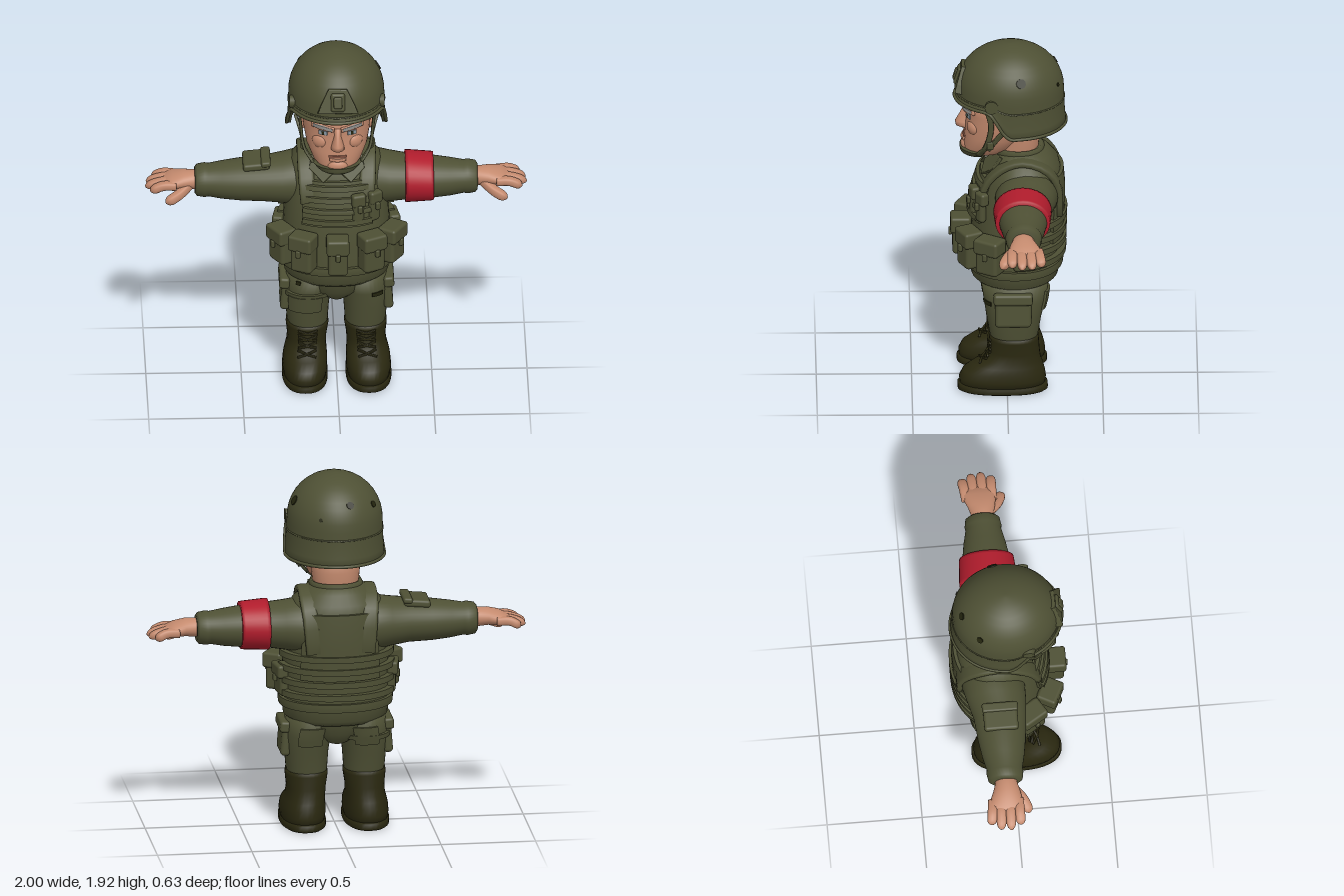
import * as THREE from 'three';
import { RoundedBoxGeometry } from 'three/addons/geometries/RoundedBoxGeometry.js';

const V = (x, y, z) => new THREE.Vector3(x, y, z);
const X = V(1, 0, 0), Y = V(0, 1, 0), Z = V(0, 0, 1);
const N = 36;

// Skin closed rings of points, cap both ends, and turn the faces outward
function loft(rings) {
  const n = rings[0].length, pts = rings.flat(), idx = [];
  for (let i = 0; i < rings.length - 1; i++) for (let j = 0; j < n; j++) {
    const a = i * n + j, b = i * n + (j + 1) % n;
    idx.push(a, b, b + n, a, b + n, a + n);
  }
  [0, rings.length - 1].forEach((r, end) => {
    const mid = rings[r].reduce((s, p) => s.add(p), V(0, 0, 0)).divideScalar(n);
    pts.push(mid);
    for (let j = 0; j < n; j++) {
      const a = r * n + j, b = r * n + (j + 1) % n;
      idx.push(...(end ? [a, b, pts.length - 1] : [b, a, pts.length - 1]));
    }
  });
  let vol = 0;
  for (let i = 0; i < idx.length; i += 3) vol += pts[idx[i]].dot(pts[idx[i + 1]].clone().cross(pts[idx[i + 2]]));
  if (vol < 0) idx.reverse();
  const g = new THREE.BufferGeometry().setFromPoints(pts);
  g.setIndex(idx);
  g.computeVertexNormals();
  return g;
}

const pow = (c, e) => Math.sign(c) * Math.abs(c) ** (2 / e);
const around = (f, n = N) => Array.from({ length: n }, (_, j) => f(j / n * Math.PI * 2));
// Upright body: sections are [y, cx, cz, rx, rz]
const upright = (secs, e = 2.2) => loft(secs.map(([y, cx, cz, rx, rz]) =>
  around(a => V(cx + rx * pow(Math.sin(a), e), y, cz + rz * pow(Math.cos(a), e)))));
// Sideways body: sections are [x, cy, cz, ry, rz]
const sideways = (secs, s) => loft(secs.map(([x, cy, cz, ry, rz]) =>
  around(a => V(s * x, cy + ry * Math.cos(a), cz + rz * Math.sin(a)))));

// Point on an upright body at angle a (0 = front) and height y, pushed out by off
const surface = (secs, e = 2.2) => (a, y, off = 0) => {
  let i = 0;
  while (i < secs.length - 2 && y > secs[i + 1][0]) i++;
  const p = secs[i], q = secs[i + 1], t = (y - p[0]) / (q[0] - p[0]);
  const [cx, cz, rx, rz] = [1, 2, 3, 4].map(k => p[k] + (q[k] - p[k]) * t);
  return V(cx + (rx + off) * pow(Math.sin(a), e), y, cz + (rz + off) * pow(Math.cos(a), e));
};
// Box bent onto a surface: w is an angle, h a height, d the thickness
function wrap(surf, a, y, w, h, d) {
  const g = new THREE.BoxGeometry(w, h, d, Math.max(2, Math.ceil(w * 8)), 4, 1), p = g.attributes.position;
  for (let i = 0; i < p.count; i++) {
    const v = surf(a + p.getX(i), y + p.getY(i), p.getZ(i) + d * 0.3);
    p.setXYZ(i, v.x, v.y, v.z);
  }
  g.computeVertexNormals();
  return g;
}
// Band swept along a curve, with half width w along side and half thickness t
function sweep(points, w, t, side, roundTip = false) {
  const c = new THREE.CatmullRomCurve3(points), n = 16;
  return loft(Array.from({ length: n + 1 }, (_, i) => {
    const u = i / n, P = c.getPoint(u), T = c.getTangent(u);
    const M = T.clone().cross(side).normalize(), S = M.clone().cross(T);
    const k = roundTip ? Math.sqrt(1 - 0.95 * Math.max(0, (u - 0.75) / 0.25) ** 2) : 1;
    return around(a => P.clone().addScaledVector(S, k * w * pow(Math.cos(a), 4)).addScaledVector(M, k * t * pow(Math.sin(a), roundTip ? 2 : 4)), 16);
  }));
}

const TORSO = [[0.59, 0, -0.04, 0.24, 0.2], [0.62, 0, -0.04, 0.275, 0.23], [0.7, 0, -0.04, 0.285, 0.24], [0.9, 0, -0.05, 0.28, 0.235],
  [1.05, 0, -0.06, 0.27, 0.228], [1.18, 0, -0.08, 0.26, 0.208], [1.25, 0, -0.085, 0.235, 0.185], [1.3, 0, -0.08, 0.18, 0.15], [1.335, 0, -0.065, 0.13, 0.125]];
const HEAD = [[1.29, 0, 0.14, 0.05, 0.06], [1.31, 0, 0.12, 0.09, 0.105], [1.35, 0, 0.09, 0.128, 0.14], [1.42, 0, 0.055, 0.16, 0.168],
  [1.5, 0, 0.03, 0.175, 0.187], [1.55, 0, 0.018, 0.18, 0.198], [1.58, 0, 0.01, 0.183, 0.214], [1.7, 0, -0.01, 0.18, 0.2], [1.78, 0, -0.02, 0.1, 0.1]];

// Helmet shell: u runs 0 at the crown, 1 at the widest line, 2 at the rim
function helmetPoint(a, u, inset = 0) {
  const rim = 1.475 + 0.15 * THREE.MathUtils.smoothstep(Math.cos(a), 0, 0.45);
  const phi = Math.min(u, 1) * Math.PI / 2, low = Math.max(0, u - 1);
  const r = Math.sin(phi) + 0.04 * low * low, rz = Math.cos(a) > 0 ? 0.285 : 0.28;
  const y = 1.66 + 0.26 * Math.cos(phi) ** 0.92 + (rim - 1.66) * low;
  return V((0.252 * r - inset) * Math.sin(a), y - inset * (u < 1 ? 1 : 0), -0.02 + (rz * r - inset) * Math.cos(a));
}

export function createModel() {
  const root = new THREE.Group();
  const mat = (name, color) => Object.assign(new THREE.MeshStandardMaterial({ color }), { name });
  const olive = mat('olive cloth', 0x4e5034), boot = mat('dark boot leather', 0x2a2810), skin = mat('skin', 0xc48a6e);
  const red = mat('red cloth', 0xb01c2c), grey = mat('grey hair', 0x92928f), dark = mat('dark patch', 0x24250f);
  const eyeM = mat('pale eye', 0x8796a0), lipM = mat('lip', 0x9c6350);
  const add = (name, geo, material, pos, rot) => {
    const m = new THREE.Mesh(geo, material);
    m.name = name;
    if (pos) m.position.copy(pos);
    if (rot) m.rotation.set(...rot);
    root.add(m);
    return m;
  };
  const box = (w, h, d, r = 0.012) => new RoundedBoxGeometry(w, h, d, 3, r);
  const body = surface(TORSO), face = surface(HEAD);

  // Torso, vest panels and webbing
  add('torso', upright(TORSO), olive);
  add('hips', upright([[0.47, 0, -0.04, 0.06, 0.12], [0.53, 0, -0.04, 0.2, 0.165], [0.6, 0, -0.04, 0.255, 0.185], [0.64, 0, -0.04, 0.255, 0.19]]), olive);
  add('vestHem', wrap(body, 0, 0.7, Math.PI * 2, 0.045, 0.022), olive);
  add('vestFront', wrap(body, 0, 1.08, 1.3, 0.24, 0.024), olive);
  add('vestBack', wrap(body, Math.PI, 1.03, 1.5, 0.36, 0.022), olive);
  for (const y of [0.99, 1.05, 1.11, 1.17]) add('chestWebbing', wrap(body, 0, y, 1.2, 0.026, 0.045), olive);
  for (const y of [0.76, 0.83, 0.9, 0.97]) add('backWebbing', wrap(body, Math.PI, y, 2.9, 0.032, 0.038), olive);
  const pouch = (a, y, w, h, d, out) => {
    const p = body(a, y, out), ry = Math.atan2(Math.sin(a) / 0.28, Math.cos(a) / 0.24);
    add('pouch', box(w, h, d, 0.02), olive, p, [0, ry, 0]);
    const q = body(a, y + h * 0.3, out + 0.012);
    add('pouchFlap', box(w + 0.014, h * 0.42, d + 0.008, 0.015), olive, q, [0, ry, 0]);
    add('pouchClip', box(0.025, 0.04, 0.02, 0.006), olive, body(a, y + h * 0.06, out + d / 2 + 0.012), [0, ry, 0]);
  };
  pouch(0, 0.82, 0.105, 0.21, 0.1, 0.045);
  for (const s of [-1, 1]) {
    pouch(s * 0.54, 0.82, 0.12, 0.21, 0.1, 0.04);
    pouch(s * 1.08, 0.82, 0.13, 0.2, 0.1, 0.035);
    pouch(s * 1.72, 0.82, 0.12, 0.17, 0.05, 0.01);
    add('shoulderStrap', sweep([V(s * 0.15, 1.08, 0.14), V(s * 0.16, 1.19, 0.105), V(s * 0.165, 1.275, 0.02), V(s * 0.165, 1.305, -0.08),
      V(s * 0.165, 1.265, -0.2), V(s * 0.155, 1.17, -0.265), V(s * 0.14, 1.0, -0.275)], 0.042, 0.018, X), olive);
    const flap = new THREE.Shape([[0, 0], [0.06, -0.055], [0.13, 0.02], [0.12, 0.09], [0.04, 0.07]].map(([x, y]) => new THREE.Vector2(s * x, y)));
    add('collarFlap', new THREE.ExtrudeGeometry(flap, { depth: 0.012, bevelSize: 0.004, bevelThickness: 0.004 }), olive, V(s * 0.012, 1.25, 0.105), [-0.6, s * 0.25, 0]);
  }
  pouch(0.34, 1.06, 0.062, 0.17, 0.04, 0.025);
  pouch(0.68, 1.06, 0.062, 0.17, 0.04, 0.025);
  add('collar', upright([[1.28, 0, -0.065, 0.14, 0.135], [1.33, 0, -0.062, 0.142, 0.135], [1.35, 0, -0.06, 0.132, 0.125], [1.34, 0, -0.06, 0.11, 0.11]]), olive);

  for (const s of [-1, 1]) {
    // Sleeves and cuffs
    add('sleeve', sideways([[0.1, 1.1, -0.1, 0.15, 0.15], [0.2, 1.115, -0.1, 0.145, 0.165], [0.28, 1.115, -0.09, 0.13, 0.155], [0.38, 1.115, -0.08, 0.117, 0.138],
      [0.5, 1.112, -0.08, 0.11, 0.126], [0.6, 1.11, -0.08, 0.098, 0.11], [0.67, 1.11, -0.08, 0.086, 0.094], [0.69, 1.11, -0.08, 0.09, 0.097],
      [0.73, 1.11, -0.08, 0.083, 0.09], [0.742, 1.11, -0.08, 0.068, 0.074]], s), olive);
    // Hands
    add('palm', sideways([[0.7, 1.11, -0.08, 0.05, 0.058], [0.75, 1.115, -0.078, 0.05, 0.058], [0.8, 1.118, -0.08, 0.046, 0.072],
      [0.86, 1.112, -0.088, 0.038, 0.09], [0.9, 1.102, -0.092, 0.028, 0.086], [0.92, 1.1, -0.092, 0.012, 0.06]], s), skin);
    [[-0.02, -0.018, 0.975], [-0.066, -0.07, 1], [-0.112, -0.122, 0.995], [-0.155, -0.172, 0.965]].forEach(([z0, z1, tip]) =>
      add('finger', sweep([V(s * 0.84, 1.108, z0), V(s * 0.91, 1.108, (z0 + z1) / 2), V(s * tip, 1.08, z1)], 0.026, 0.023, Z, true), skin));
    add('thumb', sweep([V(s * 0.77, 1.1, -0.05), V(s * 0.83, 1.065, 0.005), V(s * 0.895, 1.035, 0.035)], 0.025, 0.027, Y, true), skin);

    // Trousers with cargo pockets
    const leg = [[0.27, s * 0.15, -0.035, 0.1, 0.12], [0.32, s * 0.152, -0.035, 0.108, 0.128], [0.42, s * 0.153, -0.035, 0.116, 0.145], [0.52, s * 0.148, -0.04, 0.128, 0.165], [0.62, s * 0.13, -0.04, 0.13, 0.18]];
    add('trouserLeg', upright(leg), olive);
    add('cargoPocket', box(0.05, 0.18, 0.19, 0.02), olive, V(s * 0.267, 0.49, -0.03), [0, 0, s * 0.08]);
    add('cargoFlap', box(0.055, 0.06, 0.205, 0.015), olive, V(s * 0.274, 0.56, -0.03), [0, 0, s * 0.08]);
    const legAt = surface(leg);
    add('backPocket', wrap(legAt, Math.PI, 0.52, 0.9, 0.1, 0.016), olive);
    if (s < 0) {
      add('thighPocket', wrap(legAt, -0.15, 0.46, 1.3, 0.09, 0.025), olive);
      add('thighStrap', wrap(legAt, 0, 0.51, Math.PI * 2, 0.025, 0.02), olive);
    }
    add('trouserPatch', wrap(legAt, s * 0.5, s > 0 ? 0.515 : 0.59, s > 0 ? 0.5 : 0.2, 0.022, 0.008), dark);

    // Boots with soles and laces
    const shoe = [[0.02, s * 0.167, 0.025, 0.112, 0.222], [0.07, s * 0.167, 0.025, 0.118, 0.228], [0.11, s * 0.165, 0.018, 0.116, 0.215], [0.145, s * 0.162, -0.002, 0.11, 0.185],
      [0.175, s * 0.158, -0.028, 0.104, 0.148], [0.22, s * 0.155, -0.038, 0.103, 0.132], [0.29, s * 0.153, -0.035, 0.112, 0.13], [0.31, s * 0.153, -0.035, 0.11, 0.128], [0.31, s * 0.153, -0.035, 0.09, 0.11]];
    add('boot', upright(shoe, 2.3), boot);
    add('sole', upright([[0, s * 0.167, 0.022, 0.108, 0.225], [0.008, s * 0.167, 0.024, 0.12, 0.237], [0.035, s * 0.167, 0.025, 0.12, 0.237], [0.042, s * 0.167, 0.025, 0.11, 0.225]], 2.4), boot);
    const shoeAt = surface(shoe, 2.3);
    for (const y of [0.16, 0.195, 0.23, 0.265]) for (const k of [-1, 1])
      add('lace', sweep([shoeAt(-0.4 * k, y, 0.004), shoeAt(0, y + 0.012, 0.006), shoeAt(0.4 * k, y + 0.024, 0.004)], 0.006, 0.006, Y), boot);
  }
  // Armband on the left sleeve, pocket on the right
  add('armband', sideways([[0.362, 1.115, -0.08, 0.11, 0.12], [0.362, 1.118, -0.078, 0.134, 0.153], [0.38, 1.118, -0.078, 0.134, 0.153],
    [0.495, 1.116, -0.078, 0.126, 0.145], [0.51, 1.116, -0.078, 0.124, 0.143], [0.51, 1.115, -0.08, 0.1, 0.11]], 1), red);
  add('sleevePocket', box(0.14, 0.04, 0.18, 0.015), olive, V(-0.42, 1.222, -0.08), [0, 0, 0.09]);
  add('sleevePocketFlap', box(0.05, 0.03, 0.19, 0.012), olive, V(-0.37, 1.24, -0.08), [0, 0, 0.09]);

  // Neck and head
  add('neck', upright([[1.22, 0, -0.02, 0.1, 0.12], [1.3, 0, -0.05, 0.118, 0.115], [1.4, 0, -0.05, 0.128, 0.12], [1.52, 0, -0.04, 0.14, 0.13]]), skin);
  add('head', upright(HEAD), skin);
  add('hair', upright([[1.455, 0, -0.06, 0.14, 0.105], [1.48, 0, -0.045, 0.165, 0.145], [1.55, 0, -0.03, 0.186, 0.175], [1.64, 0, -0.02, 0.192, 0.18]]), grey);
  add('nose', upright([[1.435, 0, 0.205, 0.018, 0.03], [1.45, 0, 0.218, 0.036, 0.05], [1.475, 0, 0.22, 0.03, 0.052], [1.52, 0, 0.207, 0.018, 0.04], [1.565, 0, 0.2, 0.02, 0.025]], 2), skin);
  add('mouth', wrap(face, 0, 1.402, 0.55, 0.01, 0.008), lipM);
  add('lowerLip', sweep([face(-0.25, 1.387), face(0, 1.385, 0.006), face(0.25, 1.387)], 0.01, 0.01, Y), skin);
  add('chin', new THREE.SphereGeometry(0.045, 20, 14).scale(1.2, 0.8, 0.7), skin, V(0, 1.345, 0.212));
  for (const s of [-1, 1]) {
    add('browRidge', sweep([face(s * 0.08, 1.558), face(s * 0.4, 1.572, 0.006), face(s * 0.75, 1.575)], 0.014, 0.012, Y), skin);
    add('eyebrow', sweep([face(s * 0.12, 1.558, 0.008), face(s * 0.4, 1.578, 0.015), face(s * 0.68, 1.575, 0.008)], 0.009, 0.007, Y), grey);
    add('eye', wrap(face, s * 0.4, 1.535, 0.27, 0.022, 0.008), eyeM);
    add('pupil', wrap(face, s * 0.39, 1.535, 0.07, 0.02, 0.0095), dark);
    add('cheek', new THREE.SphereGeometry(0.045, 18, 12).scale(1, 0.9, 0.6), skin, face(s * 0.6, 1.475, -0.015), [0, s * 0.6, 0]);
    add('ear', new THREE.SphereGeometry(0.05, 18, 12).scale(0.35, 1, 0.65), skin, V(s * 0.178, 1.51, 0.01));
    // Chin straps
    add('frontStrap', sweep([V(s * 0.2, 1.64, 0.11), V(s * 0.19, 1.52, 0.085), V(s * 0.172, 1.4, 0.11), V(s * 0.125, 1.33, 0.15)], 0.015, 0.008, Z), olive);
    add('rearStrap', sweep([V(s * 0.215, 1.53, -0.01), V(s * 0.19, 1.46, 0.045), V(s * 0.172, 1.38, 0.1)], 0.013, 0.008, Z), olive);
    add('strapBuckle', box(0.018, 0.045, 0.035, 0.006), olive, V(s * 0.182, 1.41, 0.09));
    // Side bolts on the helmet
    add('helmetBolt', new THREE.CylinderGeometry(0.032, 0.036, 0.03, 20), olive, helmetPoint(s * 1.2, 1.0), [0, 0, Math.PI / 2]);
  }
  add('chinCup', wrap(face, 0, 1.318, 2.9, 0.04, 0.026), olive);

  // Helmet shell with raised rim band and front mount
  const outer = [0.03, 0.12, 0.22, 0.32, 0.42, 0.52, 0.62, 0.72, 0.82, 0.91, 1, 1.25, 1.5, 1.75, 2];
  add('helmet', loft([...outer.map(u => around(a => helmetPoint(a, u), 72)), ...[2, 1.5, 1, 0.6].map(u => around(a => helmetPoint(a, u, 0.022), 72))]), olive);
  add('helmetRim', new THREE.TubeGeometry(new THREE.CatmullRomCurve3(around(a => helmetPoint(a, 1.97), 48), true), 120, 0.009, 8, true), olive);
  add('helmetSeam', new THREE.TubeGeometry(new THREE.CatmullRomCurve3(around(a => helmetPoint(a, 1.22), 48), true), 120, 0.005, 6, true), olive);
  const plate = new THREE.Shape([[-0.1, -0.05], [0.1, -0.05], [0.085, -0.015], [0.045, 0.07], [-0.045, 0.07], [-0.085, -0.015]].map(p => new THREE.Vector2(...p)));
  add('mountPlate', new THREE.ExtrudeGeometry(plate, { depth: 0.03, bevelSize: 0.006, bevelThickness: 0.006 }), olive, V(0, 1.725, 0.225), [-0.3, 0, 0]);
  add('mountBlock', box(0.075, 0.1, 0.04, 0.014), olive, V(0, 1.74, 0.25), [-0.3, 0, 0]);
  add('mountInset', box(0.045, 0.06, 0.02, 0.008), olive, V(0, 1.745, 0.268), [-0.3, 0, 0]);
  for (const [a, u, r] of [[1.78, 0.7, 0.026], [-2.2, 0.72, 0.018], [-2.9, 0.66, 0.02], [2.7, 0.85, 0.01]]) {
    const p = helmetPoint(a, u), spot = add('helmetVent', new THREE.CylinderGeometry(r, r, 0.008, 10), dark, p);
    spot.quaternion.setFromUnitVectors(Y, V(p.x, p.y - 1.66, p.z + 0.02).normalize());
  }
  return root;
}
